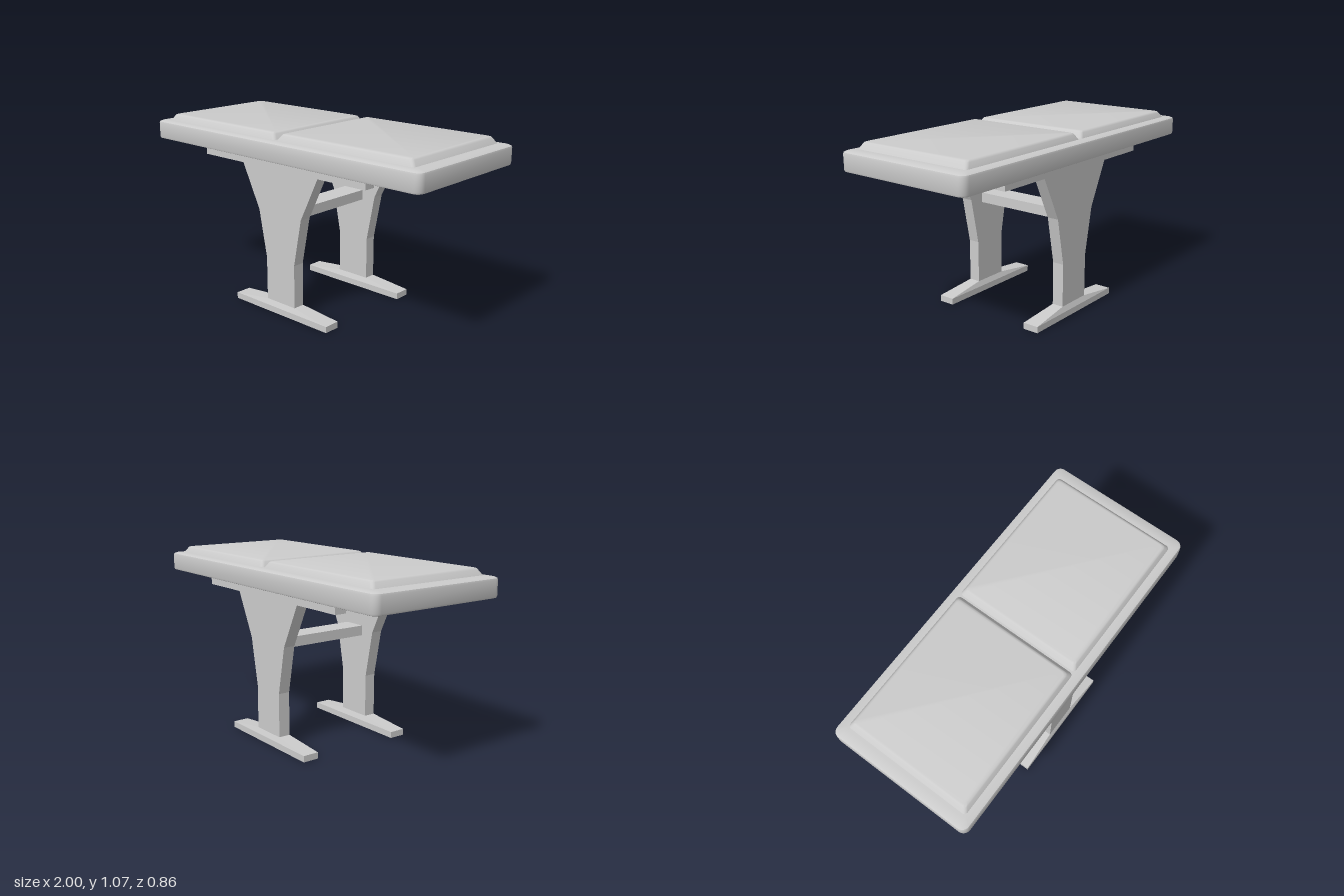
import * as THREE from 'three';
import { mergeVertices, toCreasedNormals } from 'three/addons/utils/BufferGeometryUtils.js';

const material = new THREE.MeshStandardMaterial({ color: 0xcccccc });

function addMesh(parent, name, geometry, x = 0, y = 0, z = 0) {
  const mesh = new THREE.Mesh(geometry, material);
  mesh.name = name;
  mesh.position.set(x, y, z);
  parent.add(mesh);
  return mesh;
}

// Closed solid lofted through rounded rectangles: [half x, half z, y, corner radius]
function loft(sections, cornerSteps, crease) {
  const positions = [], index = [];
  const n = 4 * (cornerSteps + 1);
  for (const [hx, hz, y, r] of sections) {
    for (let q = 0; q < 4; q++) {
      const sx = q === 0 || q === 3 ? 1 : -1, sz = q < 2 ? 1 : -1;
      for (let i = 0; i <= cornerSteps; i++) {
        const a = (q + (cornerSteps ? i / cornerSteps : 0.5)) * Math.PI / 2;
        const k = cornerSteps ? r : 0;
        positions.push(sx * (hx - k) + k * Math.cos(a), y, sz * (hz - k) + k * Math.sin(a));
      }
    }
  }
  for (let s = 0; s < sections.length - 1; s++) {
    for (let i = 0; i < n; i++) {
      const a = s * n + i, b = s * n + (i + 1) % n;
      index.push(a, a + n, b, b, a + n, b + n);
    }
  }
  const top = (sections.length - 1) * n;
  for (let i = 1; i < n - 1; i++) {
    index.push(0, i, i + 1);
    index.push(top, top + i + 1, top + i);
  }
  const g = new THREE.BufferGeometry();
  g.setAttribute('position', new THREE.Float32BufferAttribute(positions, 3));
  g.setIndex(index);
  return toCreasedNormals(mergeVertices(g), crease);
}

// Pedestal outline with the bracket that carries the top
function pedestalGeometry() {
  const half = [[0.11, 0.05], [0.11, 0.325], [0.165, 0.605], [0.29, 0.86], [0.617, 0.86], [0.617, 0.925]];
  const mirrored = half.map(([x, y]) => [-x, y]).reverse();
  const shape = new THREE.Shape([...half, ...mirrored].map(([x, y]) => new THREE.Vector2(x, y)));
  const g = new THREE.ExtrudeGeometry(shape, { depth: 0.07, bevelEnabled: false });
  return g.translate(0, 0, -0.035);
}

export function createModel() {
  const model = new THREE.Group();
  model.name = 'bench';

  // Seat slab with rounded corners and softened rims
  addMesh(model, 'seatBase', loft([
    [0.99, 0.42, 0.918, 0.035],
    [0.997, 0.427, 0.921, 0.04],
    [1.0, 0.43, 0.93, 0.042],
    [1.0, 0.43, 1.012, 0.042],
    [0.997, 0.427, 1.022, 0.04],
    [0.985, 0.415, 1.028, 0.035],
    [0.94, 0.385, 1.032, 0.02],
  ], 6, 0.7));

  // Two padded cushions separated by a V-shaped groove
  const cushion = loft([
    [0.464, 0.383, 1.026, 0.02],
    [0.458, 0.379, 1.036, 0.02],
    [0.44, 0.366, 1.06, 0.02],
    [0.434, 0.361, 1.067, 0.02],
    [0.424, 0.352, 1.07, 0.018],
  ], 4, 0.8);
  for (const side of [1, -1]) {
    addMesh(model, side > 0 ? 'leftCushion' : 'rightCushion', cushion, side * 0.466);
  }

  // Front and back supports with tapered feet
  const pedestal = pedestalGeometry();
  const foot = loft([
    [0.365, 0.048, 0, 0],
    [0.365, 0.048, 0.037, 0],
    [0.11, 0.035, 0.068, 0],
  ], 0, 0.1);
  for (const side of [1, -1]) {
    const support = new THREE.Group();
    support.name = side > 0 ? 'frontSupport' : 'backSupport';
    support.position.z = side * 0.32;
    addMesh(support, 'pedestal', pedestal);
    addMesh(support, 'foot', foot);
    model.add(support);
  }

  // Crossbar joining the supports
  addMesh(model, 'crossbar', new THREE.BoxGeometry(0.14, 0.06, 0.57), 0, 0.602, 0);

  return model;
}
